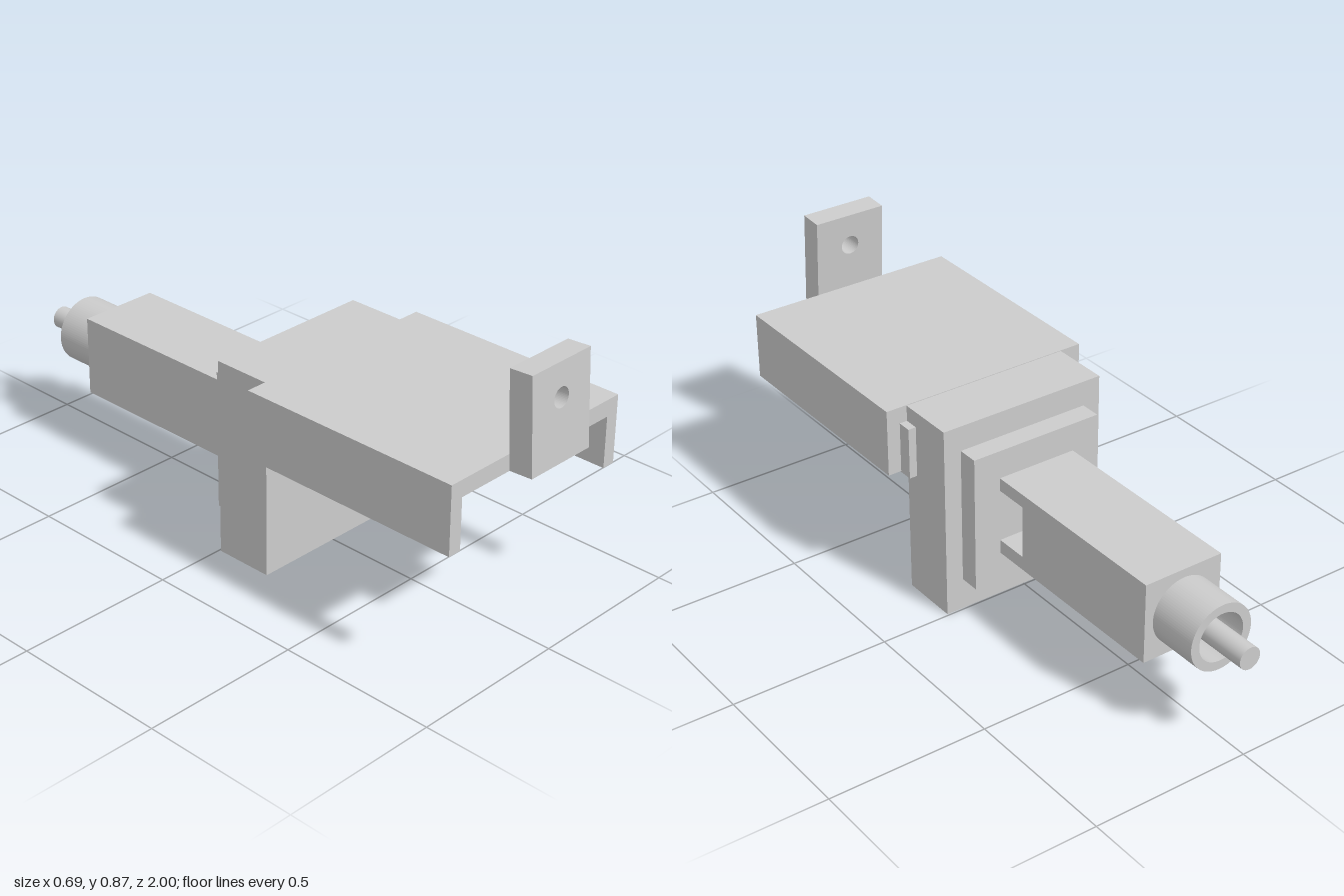
import * as THREE from 'three';

const grey = new THREE.MeshStandardMaterial({ color: 0xcccccc });

function add(parent, name, geometry) {
  const mesh = new THREE.Mesh(geometry, grey);
  mesh.name = name;
  parent.add(mesh);
  return mesh;
}

// Box given by its extents on each axis
function box(parent, name, [x0, x1], [y0, y1], [z0, z1]) {
  const mesh = add(parent, name, new THREE.BoxGeometry(x1 - x0, y1 - y0, z1 - z0));
  mesh.position.set((x0 + x1) / 2, (y0 + y1) / 2, (z0 + z1) / 2);
  return mesh;
}

export function createModel() {
  const model = new THREE.Group();
  model.name = 'latchAssembly';

  // Upright plate and the hood in front of it
  box(model, 'uprightPlate', [-0.275, 0.275], [0, 0.62], [0.006, 0.194]);
  box(model, 'hoodTop', [-0.343, 0.343], [0.57, 0.622], [0.193, 0.922]);
  for (const side of [-1, 1]) {
    const span = (a, b) => (side > 0 ? [a, b] : [-b, -a]);
    box(model, 'hoodRail', span(0.3, 0.343), [0.41, 0.622], [0.193, 0.922]);
    box(model, 'innerGuide', span(0.255, 0.3), [0.407, 0.57], [0.148, 0.39]);
  }

  // Leaning tab with a round hole
  const tabShape = new THREE.Shape();
  tabShape.moveTo(-0.118, 0);
  tabShape.lineTo(0.118, 0);
  tabShape.lineTo(0.118, 0.293);
  tabShape.lineTo(-0.118, 0.293);
  tabShape.closePath();
  const hole = new THREE.Path();
  hole.absarc(0, 0.19, 0.03, 0, Math.PI * 2, true);
  tabShape.holes.push(hole);
  const tab = add(model, 'frontTab', new THREE.ExtrudeGeometry(tabShape, {
    depth: 0.074, bevelEnabled: false, curveSegments: 24,
  }));
  tab.position.set(0, 0.574, 0.926);
  tab.rotation.x = -0.055;

  // Flange behind the plate
  box(model, 'flange', [-0.218, 0.218], [0.102, 0.54], [-0.06, 0.008]);

  // Square body: solid bottom and top layers, rounded pocket in the left side between
  box(model, 'bodyBottom', [-0.13, 0.13], [0.196, 0.24], [-0.724, -0.058]);
  box(model, 'bodyTop', [-0.13, 0.13], [0.408, 0.45], [-0.724, -0.058]);
  const core = new THREE.Shape(); // drawn in x and -z
  core.moveTo(-0.13, 0.058);
  core.lineTo(0.018, 0.058);
  core.absarc(0.13, 0.058, 0.112, Math.PI, Math.PI / 2, true);
  core.lineTo(0.13, 0.724);
  core.lineTo(-0.13, 0.724);
  core.closePath();
  const coreMesh = add(model, 'bodyCore', new THREE.ExtrudeGeometry(core, {
    depth: 0.168, bevelEnabled: false, curveSegments: 20,
  }));
  coreMesh.rotation.x = -Math.PI / 2;
  coreMesh.position.y = 0.24;

  // Hollow end barrel with a pin in the middle
  const ring = new THREE.Shape();
  ring.absarc(0, 0, 0.104, 0, Math.PI * 2, false);
  const bore = new THREE.Path();
  bore.absarc(0, 0, 0.076, 0, Math.PI * 2, true);
  ring.holes.push(bore);
  const barrel = add(model, 'endBarrel', new THREE.ExtrudeGeometry(ring, {
    depth: 0.162, bevelEnabled: false, curveSegments: 48,
  }));
  barrel.position.set(-0.002, 0.319, -0.884);

  const pin = add(model, 'endPin', new THREE.CylinderGeometry(0.035, 0.035, 0.28, 32));
  pin.rotation.x = Math.PI / 2;
  pin.position.set(-0.002, 0.318, -0.86);

  return model;
}
